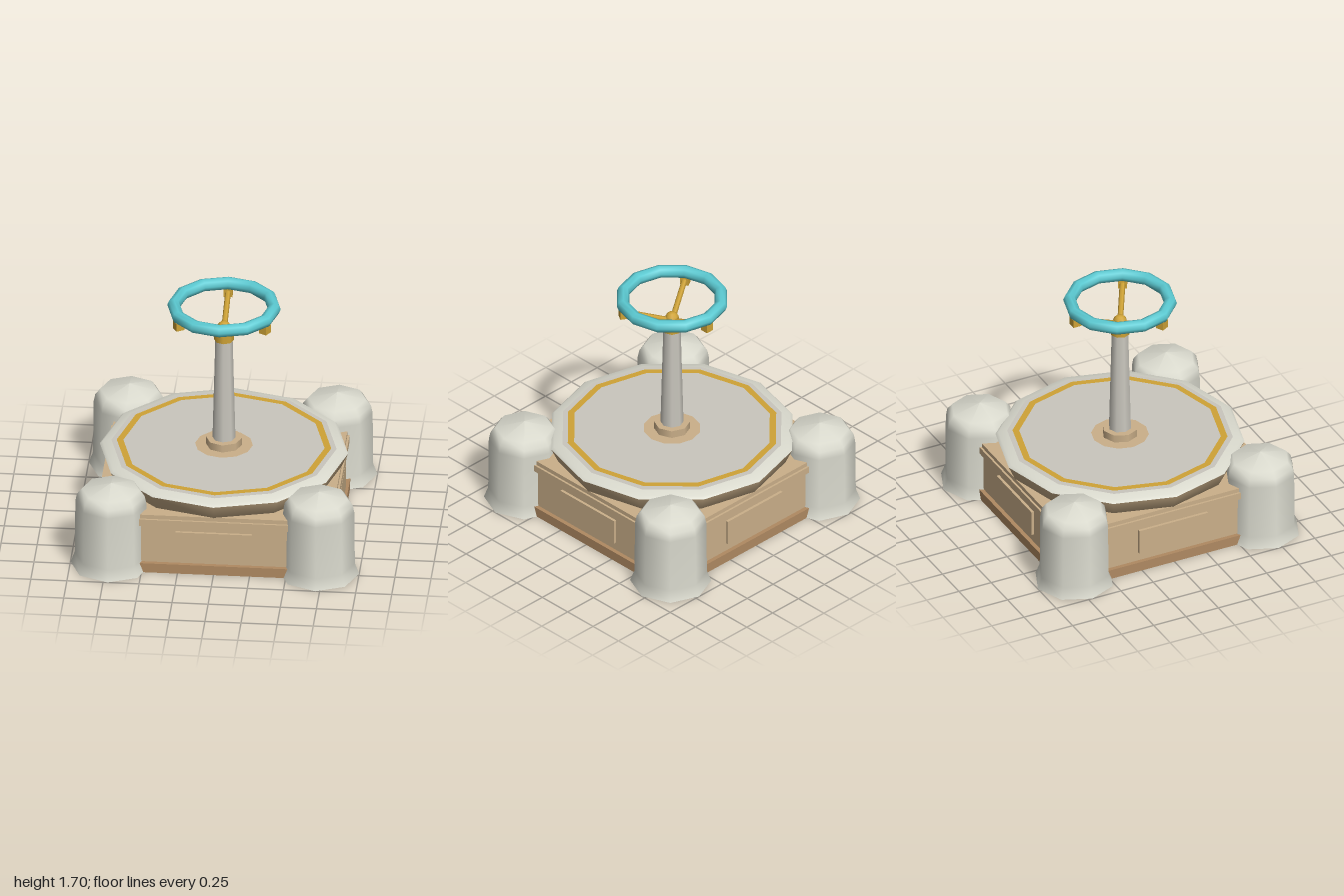
import * as THREE from 'three';

const paint = (name, color) => {
  const m = new THREE.MeshStandardMaterial({ color });
  m.name = name;
  return m;
};

export function createModel() {
  const model = new THREE.Group();
  model.name = 'wheelPedestal';

  const stone = paint('pale stone', 0xdadace);
  const deckGrey = paint('deck grey', 0xcac7be);
  const tan = paint('tan', 0xcbb08a);
  const brown = paint('brown', 0xb08a62);
  const gold = paint('gold', 0xcfa336);
  const cyan = paint('cyan', 0x5ccbd3);

  const add = (name, geometry, material, x = 0, y = 0, z = 0, parent = model) => {
    const mesh = new THREE.Mesh(geometry, material);
    mesh.name = name;
    mesh.position.set(x, y, z);
    parent.add(mesh);
    return mesh;
  };
  const lathe = (points, sides) =>
    new THREE.LatheGeometry(points.map(([r, y]) => new THREE.Vector2(r, y)), sides);
  const slab = (name, half, y0, y1, material) =>
    add(name, new THREE.BoxGeometry(half * 2, y1 - y0, half * 2), material, 0, (y0 + y1) / 2, 0);

  // Square base with plinth and stepped cornice
  slab('plinth', 0.83, 0, 0.07, brown);
  slab('baseBody', 0.8, 0.07, 0.36, tan);
  slab('cornice', 0.825, 0.36, 0.41, tan);
  slab('corniceCap', 0.81, 0.41, 0.44, tan);

  // Raised panel on each side
  for (let i = 0; i < 4; i++) {
    const side = new THREE.Group();
    side.name = 'sidePanel';
    side.rotation.y = i * Math.PI / 2;
    model.add(side);
    add('panel', new THREE.BoxGeometry(0.53, 0.185, 0.03), tan, 0, 0.225, 0.805, side);
  }

  // Domed corner pillars
  const pillar = lathe([[0.28, 0], [0.25, 0.08], [0.246, 0.48], [0.235, 0.535], [0.2, 0.58], [0, 0.63]], 8);
  const pillarFoot = new THREE.CircleGeometry(0.28, 8).rotateX(Math.PI / 2);
  for (const x of [-0.72, 0.72]) {
    for (const z of [-0.72, 0.72]) {
      add('cornerPillar', pillar, stone, x, 0, z);
      add('pillarFoot', pillarFoot, brown, x, 0, z);
    }
  }

  // Twelve-sided platform
  add('platformUnderside', lathe([[0, 0.41], [0.74, 0.41], [0.81, 0.435], [0.86, 0.545]], 12), tan);
  add('platformRim', lathe([[0.86, 0.545], [0.84, 0.562], [0.78, 0.577]], 12), stone);
  const flatDisc = (r, sides) => new THREE.CircleGeometry(r, sides).rotateX(-Math.PI / 2);
  add('platformDeck', flatDisc(0.78, 12), deckGrey, 0, 0.577, 0);
  add('deckStripe', new THREE.RingGeometry(0.697, 0.743, 12).rotateX(-Math.PI / 2), gold, 0, 0.58, 0);
  add('centreDisc', flatDisc(0.2, 12), tan, 0, 0.58, 0);

  // Central column
  add('collar', new THREE.CylinderGeometry(0.125, 0.125, 0.06, 8), tan, 0, 0.605, 0);
  add('column', new THREE.CylinderGeometry(0.06, 0.08, 0.79, 8), deckGrey, 0, 1.015, 0);
  add('columnCap', new THREE.CylinderGeometry(0.068, 0.068, 0.06, 8), gold, 0, 1.43, 0);
  add('hub', new THREE.SphereGeometry(0.05, 8, 6), gold, 0, 1.495, 0);

  // Wheel with three sloping spokes and end blocks
  add('wheelRim', new THREE.TorusGeometry(0.348, 0.045, 8, 12).rotateX(Math.PI / 2), cyan, 0, 1.656, 0);
  const from = new THREE.Vector3(0, 1.475, 0);
  const to = new THREE.Vector3(0, 1.6, -0.33);
  for (let i = 0; i < 3; i++) {
    const arm = new THREE.Group();
    arm.name = 'spokeArm';
    arm.rotation.y = i * Math.PI * 2 / 3;
    model.add(arm);
    const path = new THREE.LineCurve3(from, to);
    add('spoke', new THREE.TubeGeometry(path, 1, 0.02, 6), gold, 0, 0, 0, arm);
    add('spokeBlock', new THREE.BoxGeometry(0.06, 0.06, 0.06), gold, 0, 1.593, -0.345, arm);
  }

  return model;
}
